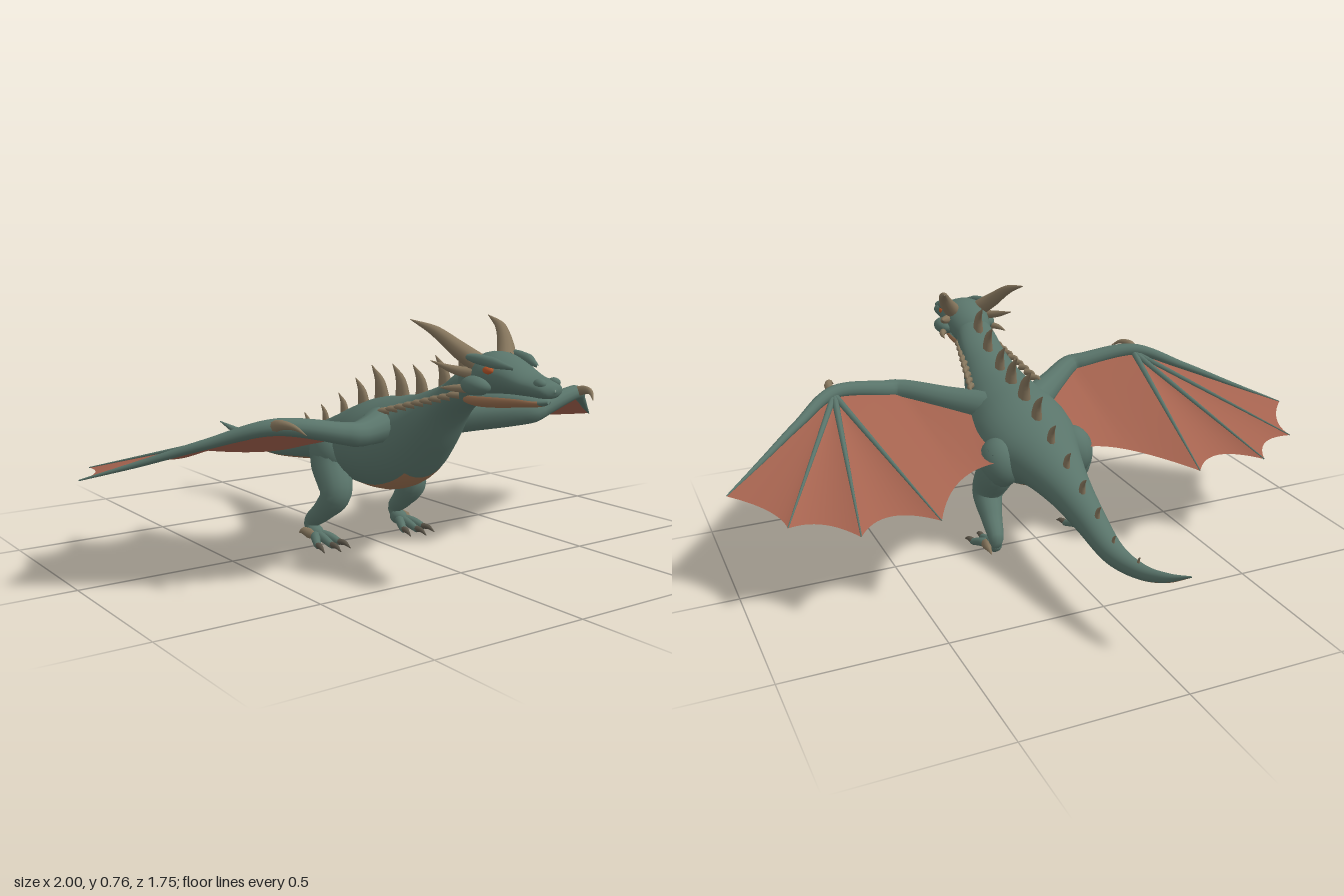
import * as THREE from 'three';

const mat = (name, color, side = THREE.FrontSide) => {
  const m = new THREE.MeshStandardMaterial({ color, side });
  m.name = name;
  return m;
};

export function createModel() {
  const skin = mat('teal skin', 0x59746a);
  const belly = mat('tan belly', 0x9a7050);
  const horn = mat('horn', 0x86765d);
  const claw = mat('dark claw', 0x5a5448);
  const web = mat('wing membrane', 0xa5634f, THREE.DoubleSide);
  const eyeMat = mat('amber eye', 0xb5562a);
  const root = new THREE.Group();
  root.name = 'dragon';
  const V = (x, y, z) => new THREE.Vector3(x, y, z);

  const add = (name, geo, material, parent) => {
    const m = new THREE.Mesh(geo, material);
    m.name = name;
    parent.add(m);
    return m;
  };

  // Tapered tube through [x, y, z, radius] points, x mirrored by s
  const limb = (name, pts, material, s, parent, segs = 24, sides = 12) => {
    const curve = new THREE.CatmullRomCurve3(pts.map(p => V(p[0] * s, p[1], p[2])));
    const geo = new THREE.TubeGeometry(curve, segs, 1, sides, false);
    const pos = geo.attributes.position, v = V(0, 0, 0);
    for (let i = 0; i <= segs; i++) {
      const c = curve.getPointAt(i / segs);
      const t = curve.getUtoTmapping(i / segs) * (pts.length - 1);
      const k = Math.min(Math.floor(t), pts.length - 2);
      const r = THREE.MathUtils.lerp(pts[k][3], pts[k + 1][3], t - k);
      for (let j = 0; j <= sides; j++) {
        const n = i * (sides + 1) + j;
        v.fromBufferAttribute(pos, n).sub(c).multiplyScalar(r).add(c);
        pos.setXYZ(n, v.x, v.y, v.z);
      }
    }
    return add(name, geo, material, parent);
  };

  // Smooth loft along z from [z, top, bottom, halfWidth, x];
  // quads below the underside level and behind maxZ get the belly colour
  const loft = (name, secs, rings, parent, underside, maxZ) => {
    const sides = 32;
    const a = new THREE.CatmullRomCurve3(secs.map(q => V(q[0], q[1], q[2])), false, 'catmullrom');
    const b = new THREE.CatmullRomCurve3(secs.map(q => V(q[3], q[4] || 0, 0)), false, 'catmullrom');
    const pos = [], upper = [], lower = [];
    for (let i = 0; i <= rings; i++) {
      const p = a.getPoint(i / rings), q = b.getPoint(i / rings);
      for (let j = 0; j < sides; j++) {
        const t = j / sides * Math.PI * 2;
        pos.push(q.y + Math.cos(t) * q.x, (p.y + p.z) / 2 + Math.sin(t) * (p.y - p.z) / 2, p.x);
        if (i === rings) continue;
        const k = (j + 1) % sides, n = i * sides;
        const isLow = Math.sin((j + 0.5) / sides * Math.PI * 2) < underside && p.x < maxZ;
        (isLow ? lower : upper).push(n + j, n + k, n + sides + j, n + k, n + sides + k, n + sides + j);
      }
    }
    const geo = new THREE.BufferGeometry();
    geo.setAttribute('position', new THREE.Float32BufferAttribute(pos, 3));
    geo.setIndex([...upper, ...lower]);
    geo.addGroup(0, upper.length, 0);
    geo.addGroup(upper.length, lower.length, 1);
    geo.computeVertexNormals();
    return add(name, geo, [skin, belly], parent);
  };

  const blob = (name, s, p, r, material, parent) => {
    const m = add(name, new THREE.SphereGeometry(1, 20, 14), material, parent);
    m.position.set(p[0] * s, p[1], p[2]);
    m.scale.set(...r);
  };

  // Tail, trunk and neck
  const bodySecs = [
    [-0.872, 0.287, 0.283, 0.002, -0.07], [-0.8, 0.268, 0.238, 0.016, -0.035],
    [-0.7, 0.253, 0.206, 0.024, -0.008], [-0.57, 0.265, 0.195, 0.036, 0.01],
    [-0.4, 0.315, 0.213, 0.052, 0.004], [-0.25, 0.365, 0.232, 0.075, 0],
    [-0.1, 0.42, 0.24, 0.115, 0], [0, 0.46, 0.215, 0.155, 0], [0.1, 0.495, 0.205, 0.17, 0],
    [0.2, 0.512, 0.212, 0.16, 0], [0.3, 0.53, 0.26, 0.13, 0], [0.39, 0.56, 0.36, 0.1, 0],
    [0.46, 0.59, 0.46, 0.08, 0], [0.53, 0.635, 0.515, 0.07, 0], [0.62, 0.66, 0.55, 0.05, 0]
  ];
  loft('body', bodySecs, 90, root, -0.86, 0.31);
  const backLine = z => {
    const k = Math.max(1, bodySecs.findIndex(q => q[0] >= z));
    const [p, q] = [bodySecs[k - 1], bodySecs[k]];
    const t = (z - p[0]) / (q[0] - p[0]);
    return [THREE.MathUtils.lerp(p[1], q[1], t), THREE.MathUtils.lerp(p[4], q[4], t)];
  };

  // Row of thin backswept spines: [base z, height]
  const spines = [[0.5, 0.085], [0.41, 0.085], [0.3, 0.085], [0.2, 0.095], [0.09, 0.1], [-0.01, 0.085],
    [-0.12, 0.065], [-0.235, 0.055], [-0.35, 0.05], [-0.46, 0.04], [-0.57, 0.026], [-0.69, 0.02]];
  for (const [z, h] of spines) {
    const [y, x] = backLine(z);
    const spine = limb('backSpine', [[0, y - 0.02, z + h * 0.1, h * 0.33], [0, y + h * 0.5, z - h * 0.05, h * 0.2],
      [0, y + h, z - h * 0.5, 0.001]], horn, 1, root, 8, 8);
    spine.position.x = x;
    spine.scale.x = 0.7;
  }

  // Head
  const head = new THREE.Group();
  head.name = 'head';
  root.add(head);
  loft('skull', [[0.52, 0.62, 0.56, 0.03], [0.55, 0.655, 0.53, 0.065], [0.61, 0.685, 0.55, 0.08],
    [0.66, 0.69, 0.566, 0.083], [0.72, 0.672, 0.576, 0.07], [0.79, 0.642, 0.58, 0.056],
    [0.84, 0.632, 0.58, 0.048], [0.865, 0.622, 0.584, 0.035], [0.875, 0.606, 0.6, 0.003]],
  36, head, -0.95, 0.8);
  loft('lowerJaw', [[0.53, 0.57, 0.53, 0.04], [0.6, 0.58, 0.528, 0.064], [0.68, 0.585, 0.535, 0.06],
    [0.76, 0.585, 0.547, 0.047], [0.82, 0.582, 0.555, 0.037], [0.85, 0.575, 0.566, 0.004]],
  24, head, 0.45, 0.83);

  for (const s of [1, -1]) {
    // Face details and horns
    blob('nostril', s, [0.026, 0.622, 0.842], [0.016, 0.014, 0.02], skin, head);
    blob('cheek', s, [0.078, 0.6, 0.645], [0.036, 0.028, 0.052], skin, head);
    blob('eye', s, [0.069, 0.645, 0.685], [0.013, 0.012, 0.02], eyeMat, head);
    limb('brow', [[0.045, 0.655, 0.76, 0.004], [0.066, 0.667, 0.7, 0.016], [0.08, 0.675, 0.64, 0.014],
      [0.09, 0.68, 0.58, 0.002]], skin, s, head, 14, 10);
    limb('horn', [[0.055, 0.66, 0.62, 0.029], [0.088, 0.695, 0.58, 0.025], [0.122, 0.742, 0.52, 0.016],
      [0.147, 0.772, 0.435, 0.001]], horn, s, head, 18, 12);
    limb('cheekHorn', [[0.07, 0.63, 0.62, 0.017], [0.105, 0.64, 0.575, 0.012],
      [0.132, 0.66, 0.51, 0.001]], horn, s, head, 10, 8);
    limb('jawHorn', [[0.08, 0.59, 0.63, 0.015], [0.108, 0.588, 0.585, 0.01],
      [0.118, 0.585, 0.535, 0.001]], horn, s, head, 10, 8);

    // Scale row along the side of the neck
    for (let i = 0; i < 9; i++) {
      const t = i / 8, z = 0.54 - t * 0.26, y = 0.56 - t * 0.075, x = 0.062 + t * 0.055;
      limb('neckScale', [[x - 0.005, y, z + 0.012, 0.012], [x + 0.01, y, z - 0.01, 0.009],
        [x + 0.013, y - 0.005, z - 0.035, 0.001]], horn, s, root, 6, 7);
    }

    // Wing arm and leading finger
    const wing = new THREE.Group();
    wing.name = s > 0 ? 'leftWing' : 'rightWing';
    root.add(wing);
    limb('wingArm', [[0.06, 0.425, 0.18, 0.06], [0.2, 0.44, 0.315, 0.045], [0.31, 0.455, 0.417, 0.037],
      [0.34, 0.458, 0.433, 0.035], [0.375, 0.464, 0.428, 0.032], [0.57, 0.495, 0.385, 0.024],
      [0.72, 0.447, 0.272, 0.015], [0.87, 0.388, 0.15, 0.009], [1, 0.34, 0.045, 0.002]], skin, s, wing, 56, 12);
    limb('wingClaw', [[0.575, 0.495, 0.38, 0.018], [0.575, 0.508, 0.43, 0.014], [0.56, 0.505, 0.47, 0.008],
      [0.54, 0.485, 0.5, 0.001]], horn, s, wing, 12, 8);

    // Fingers and scalloped membrane
    const W = V(0.57, 0.488, 0.38);
    const tips = [V(1, 0.34, 0.045), V(0.872, 0.318, -0.2), V(0.688, 0.305, -0.315),
      V(0.443, 0.305, -0.31), V(0.15, 0.345, -0.065)];
    const dips = [V(0.87, 0.325, -0.08), V(0.76, 0.31, -0.15), V(0.575, 0.305, -0.13), V(0.305, 0.315, 0)];
    const elbow = V(0.33, 0.45, 0.42), armpit = V(0.12, 0.42, 0.2);
    const armEdge = v => v < 0.5 ? W.clone().lerp(elbow, v * 2) : elbow.clone().lerp(armpit, v * 2 - 1);
    for (let p = 0; p < 4; p++) {
      const far = new THREE.QuadraticBezierCurve3(tips[p], dips[p], tips[p + 1]);
      const geo = new THREE.PlaneGeometry(1, 1, 16, 8);
      const pos = geo.attributes.position;
      for (let i = 0; i < pos.count; i++) {
        const v = pos.getX(i) + 0.5, u = pos.getY(i) + 0.5;
        const q = (p < 3 ? W.clone() : armEdge(v)).lerp(far.getPoint(v), u);
        pos.setXYZ(i, q.x * s, q.y, q.z);
      }
      if (s > 0) geo.setIndex(Array.from(geo.index.array).reverse());
      geo.computeVertexNormals();
      add('membrane', geo, web, wing);
      if (p > 0) {
        const e = tips[p], m = W.clone().lerp(e, 0.5);
        limb('wingFinger', [[W.x, W.y, W.z, 0.012], [m.x, m.y, m.z, 0.007],
          [e.x, e.y, e.z, 0.002]], skin, s, wing, 12, 8);
      }
    }

    // Leg
    const leg = new THREE.Group();
    leg.name = s > 0 ? 'leftLeg' : 'rightLeg';
    root.add(leg);
    blob('hip', s, [0.13, 0.315, 0.0], [0.07, 0.085, 0.08], skin, leg);
    limb('legShaft', [[0.12, 0.36, -0.015, 0.06], [0.14, 0.28, 0.01, 0.066], [0.152, 0.19, 0.055, 0.052],
      [0.162, 0.125, 0, 0.036], [0.172, 0.07, -0.062, 0.024], [0.172, 0.035, -0.04, 0.018]],
    skin, s, leg, 30, 14);
    blob('ankle', s, [0.172, 0.045, -0.04], [0.027, 0.026, 0.035], skin, leg);

    // Toes with claws
    for (const d of [-1, 0, 1]) {
      const x = 0.172, f = d === 0 ? 0.02 : 0;
      limb('toe', [[x, 0.04, -0.04, 0.018], [x + d * 0.025, 0.036, 0.005, 0.015],
        [x + d * 0.042, 0.022, 0.045 + f, 0.011], [x + d * 0.045, 0.02, 0.056 + f, 0.002]],
      skin, s, leg, 12, 10);
      limb('toeClaw', [[x + d * 0.04, 0.024, 0.04 + f, 0.011], [x + d * 0.046, 0.024, 0.068 + f, 0.008],
        [x + d * 0.05, 0.012, 0.096 + f, 0.001]], claw, s, leg, 8, 8);
    }
    // Backward spur wrapped round the outside of the ankle
    limb('heelSpur', [[0.185, 0.035, 0.005, 0.004], [0.194, 0.044, -0.03, 0.018], [0.2, 0.048, -0.06, 0.013],
      [0.2, 0.035, -0.092, 0.001]], horn, s, leg, 12, 8);
  }
  return root;
}
